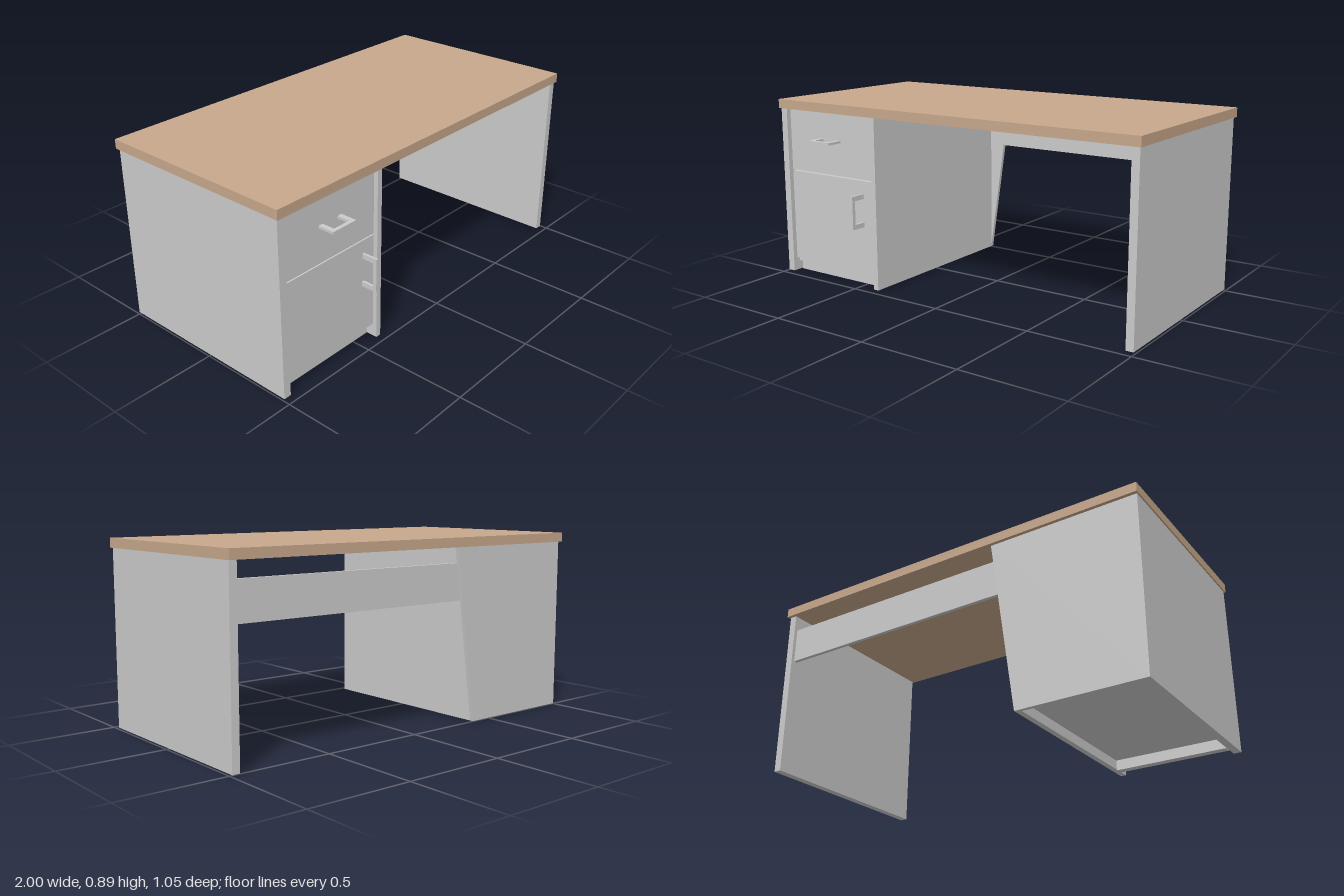
import * as THREE from 'three';

const grey = new THREE.MeshStandardMaterial({ color: 0xcccccc });
const wood = new THREE.MeshStandardMaterial({ color: 0xc7a88b });

// Box given by its limits on each axis
function box(parent, name, [x0, x1], [y0, y1], [z0, z1], material = grey) {
  const mesh = new THREE.Mesh(new THREE.BoxGeometry(x1 - x0, y1 - y0, z1 - z0), material);
  mesh.position.set((x0 + x1) / 2, (y0 + y1) / 2, (z0 + z1) / 2);
  mesh.name = name;
  parent.add(mesh);
  return mesh;
}

// Flat square-cornered U handle, projecting toward +z from its local origin
function handle(name, length, depth, thickness) {
  const h = length / 2, leg = 0.024, bar = 0.018;
  const shape = new THREE.Shape([
    [-h, 0], [-h, depth], [h, depth], [h, 0],
    [h - leg, 0], [h - leg, depth - bar], [leg - h, depth - bar], [leg - h, 0],
  ].map(([x, y]) => new THREE.Vector2(x, y)));
  const geometry = new THREE.ExtrudeGeometry(shape, { depth: thickness, bevelEnabled: false });
  geometry.translate(0, 0, -thickness / 2).rotateX(Math.PI / 2);
  const mesh = new THREE.Mesh(geometry, grey);
  mesh.name = name;
  return mesh;
}

export function createModel() {
  const desk = new THREE.Group();
  desk.name = 'desk';
  const front = 0.465, back = -0.508, inner = -0.49, floor = 0.004, under = 0.848;

  // Worktop and far leg panel
  box(desk, 'worktop', [-1, 1], [under, 0.893], [-0.525, 0.475], wood);
  box(desk, 'legPanel', [0.955, 0.992], [floor, under], [back, front]);

  // Rail joining the leg panel to the cabinet
  box(desk, 'modestyRail', [-0.345, 0.955], [0.595, 0.772], [inner, -0.472]);

  // Cabinet carcass
  const cabinet = new THREE.Group();
  cabinet.name = 'cabinet';
  desk.add(cabinet);
  box(cabinet, 'outerSide', [-0.993, -0.956], [floor, under], [inner, front]);
  box(cabinet, 'innerSide', [-0.407, -0.38], [floor, under], [inner, front]);
  box(cabinet, 'cabinetFloor', [-0.956, -0.407], [0.05, 0.07], [inner, 0.425]);
  box(cabinet, 'drawerShelf', [-0.956, -0.407], [0.525, 0.543], [inner, 0.425]);
  box(cabinet, 'kickBoard', [-0.956, -0.407], [0, 0.07], [0.367, 0.405]);

  // Back panel, widening toward the worktop
  const outline = new THREE.Shape([
    [-0.993, floor], [-0.38, floor], [-0.26, under], [-0.993, under],
  ].map(([x, y]) => new THREE.Vector2(x, y)));
  const backPanel = new THREE.Mesh(
    new THREE.ExtrudeGeometry(outline, { depth: inner - back, bevelEnabled: false }), grey);
  backPanel.position.z = back;
  backPanel.name = 'backPanel';
  cabinet.add(backPanel);

  // Drawer and door fronts, set slightly back between the sides
  const face = 0.447;
  box(cabinet, 'drawerFront', [-0.95, -0.411], [0.538, 0.843], [0.425, face]);
  box(cabinet, 'doorFront', [-0.95, -0.411], [0.072, 0.532], [0.425, face]);

  // Handles
  const drawerHandle = handle('drawerHandle', 0.136, 0.527 - face, 0.012);
  drawerHandle.position.set(-0.682, 0.708, face);
  const doorHandle = handle('doorHandle', 0.164, 0.527 - face, 0.012);
  doorHandle.rotation.z = Math.PI / 2;
  doorHandle.position.set(-0.479, 0.387, face);
  cabinet.add(drawerHandle, doorHandle);

  return desk;
}
